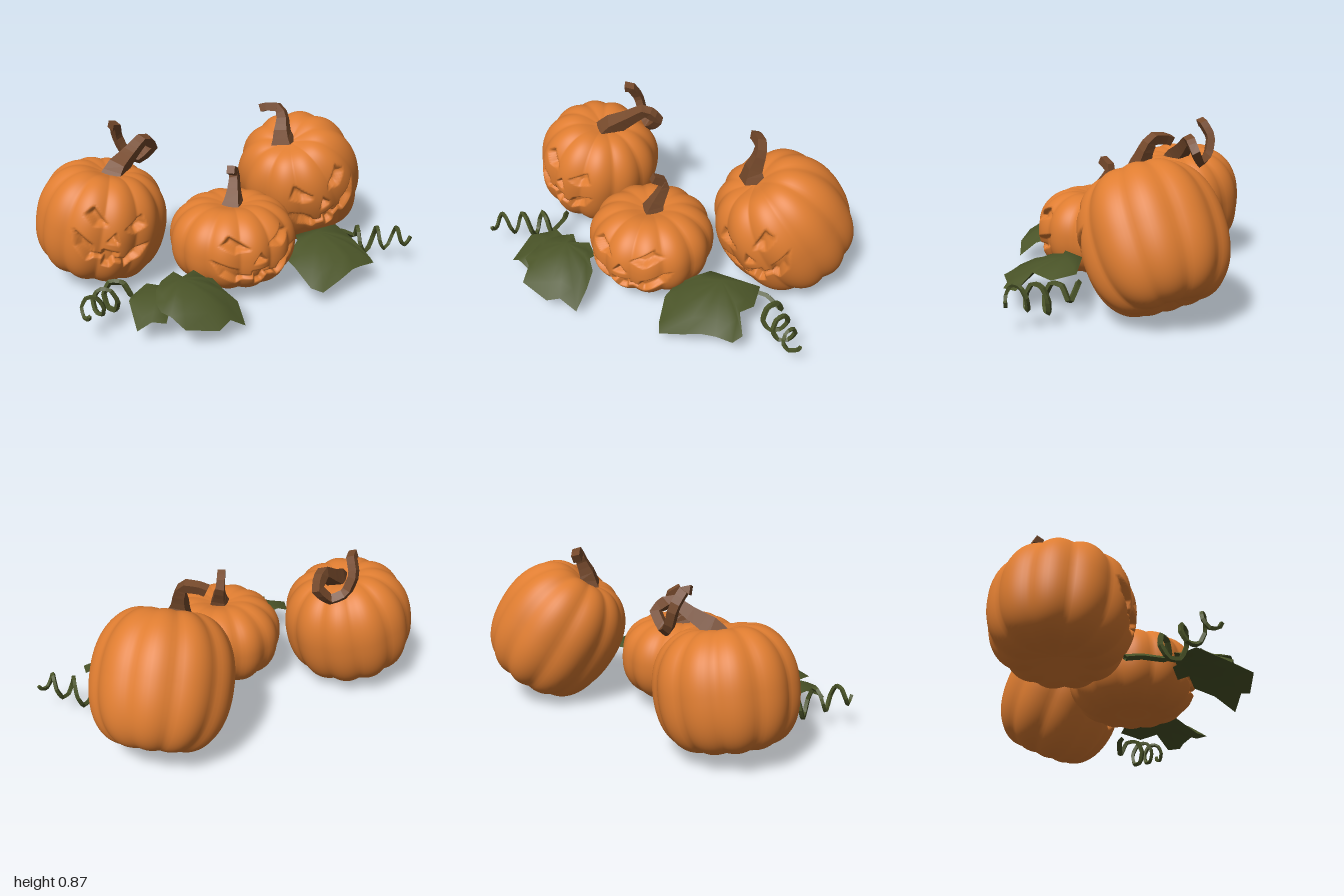
import * as THREE from 'three';

const mat = (name, color) => {
  const m = new THREE.MeshStandardMaterial({ color });
  m.name = name;
  return m;
};

// Signed distance to a polygon, negative inside
function polygonDistance(x, y, pts) {
  let d = Infinity, inside = false;
  for (let i = 0, j = pts.length - 1; i < pts.length; j = i++) {
    const [ax, ay] = pts[i], [bx, by] = pts[j];
    const ex = bx - ax, ey = by - ay;
    const t = THREE.MathUtils.clamp(((x - ax) * ex + (y - ay) * ey) / (ex * ex + ey * ey), 0, 1);
    d = Math.min(d, Math.hypot(x - ax - ex * t, y - ay - ey * t));
    if ((ay > y) !== (by > y) && x < ex * (y - ay) / ey + ax) inside = !inside;
  }
  return inside ? -d : d;
}

// Carved face shapes
const eye = [[0.045, 0.075], [0.11, 0.06], [0.165, 0.1], [0.13, 0.145]];
const mouthHalf = [[0.04, -0.05], [0.04, -0.08], [0.085, -0.08], [0.1, -0.04], [0.2, 0.01],
  [0.17, -0.07], [0.1, -0.125], [0.075, -0.1], [0.03, -0.1], [0.02, -0.135]];
const mirror = pts => pts.map(([x, y]) => [-x, y]).reverse();
const faceShapes = [eye, mirror(eye), [[-0.032, -0.005], [0.032, -0.005], [0, 0.05]],
  [...mouthHalf, ...mirror(mouthHalf)]];

// Ribbed body with dimpled ends and a fuller base; the face is pressed inwards on the +z side
function pumpkinGeometry({ R, top, bottom, base, lobes, face }) {
  const cols = 140, rows = 80, pos = [], index = [];
  const ct = Math.cos(face.tilt), st = Math.sin(face.tilt);
  const shapes = faceShapes.map(s => s.map(([x, y]) => [
    (x * ct - y * st) * face.sx + face.x, (x * st + y * ct) * face.sy + face.y]));
  for (let j = 0; j <= rows; j++) {
    const v = (j / rows - 0.5) * Math.PI, phi = v - 0.25 * Math.sin(2 * v);
    const c = Math.max(0, Math.cos(phi)), s = Math.sin(phi);
    const prof = Math.pow(c, s < 0 ? base : 0.76);
    for (let i = 0; i < cols; i++) {
      const u = (i / cols * 2 - 1) * Math.PI, a = u - 0.6 * Math.sin(u);
      const groove = 1 - Math.abs(Math.cos(a * lobes / 2));
      const r = R * prof * (1 - 0.055 * groove);
      const y = Math.sign(s) * ((s < 0 ? bottom : top) * Math.pow(Math.abs(s), 0.9) * (1 - 0.04 * groove * prof)
        - 0.048 * Math.exp(-Math.pow(prof / 0.35, 2)));
      const x = r * Math.sin(a), z = r * Math.cos(a);
      let k = 1;
      if (z > 0) {
        const d = Math.min(...shapes.map(p => polygonDistance(x, y, p)));
        k -= 0.12 * THREE.MathUtils.smoothstep(-d, -0.006, 0.016);
      }
      pos.push(x * k, y, z * k);
      if (j < rows) {
        const p = j * cols + i, q = j * cols + (i + 1) % cols;
        index.push(p, q, q + cols, p, q + cols, p + cols);
      }
    }
  }
  const g = new THREE.BufferGeometry();
  g.setAttribute('position', new THREE.Float32BufferAttribute(pos, 3));
  g.setIndex(index);
  g.computeVertexNormals();
  return g;
}

// Tapered faceted tube with a closed tip
function taperedTube(points, r0, r1, segments, sides, ease) {
  const curve = new THREE.CatmullRomCurve3(points.map(p => new THREE.Vector3(...p)), false, 'catmullrom', 0.2);
  const g = new THREE.TubeGeometry(curve, segments, 1, sides);
  const p = g.attributes.position, v = new THREE.Vector3();
  const tip = curve.getPointAt((segments - 1) / segments);
  for (let i = 0; i <= segments; i++) {
    const centre = curve.getPointAt(i / segments);
    const r = r1 + (r0 - r1) * Math.pow(1 - i / segments, ease);
    for (let k = 0; k <= sides; k++) {
      const n = i * (sides + 1) + k;
      v.fromBufferAttribute(p, n).sub(centre).multiplyScalar(r).add(centre);
      if (i === segments) v.copy(tip);
      p.setXYZ(n, v.x, v.y, v.z);
    }
  }
  const flat = g.toNonIndexed();
  flat.computeVertexNormals();
  return flat;
}

// Drooping leaf: rings shrinking from the outline to the raised centre
function leafGeometry([cx, cy, cz], droop, outline) {
  const rings = 4, n = outline.length, pos = [cx, cy, cz], index = [];
  for (let k = 1; k <= rings; k++) {
    outline.forEach(([x, z], i) => {
      const t = k / rings, dx = (x - cx) * t, dz = (z - cz) * t;
      const ripple = (i % 2 ? 0.014 : -0.014) * t * t;
      pos.push(cx + dx, cy - droop * (dx * dx + dz * dz) + ripple, cz + dz);
      const a = 1 + (k - 1) * n + i, b = 1 + (k - 1) * n + (i + 1) % n;
      if (k === 1) index.push(0, b, a);
      if (k < rings) index.push(a, b, b + n, a, b + n, a + n);
    });
  }
  const g = new THREE.BufferGeometry();
  g.setAttribute('position', new THREE.Float32BufferAttribute(pos, 3));
  g.setIndex(index);
  g.computeVertexNormals();
  return g;
}

// Curled tendril: a short lead-in, then a helix along a line
function tendrilPoints(lead, from, to, turns) {
  const pts = [...lead], a = new THREE.Vector3(...from), b = new THREE.Vector3(...to);
  const side = new THREE.Vector3(b.z - a.z, 0, a.x - b.x).normalize();
  const steps = turns * 6;
  for (let i = 0; i <= steps; i++) {
    const t = i / steps, w = t * turns * Math.PI * 2, f = 1 - 0.4 * t;
    const p = a.clone().lerp(b, t).addScaledVector(side, 0.065 * f * Math.cos(w));
    pts.push([p.x, p.y + 0.085 * f * Math.sin(w), p.z]);
  }
  return pts;
}

export function createModel() {
  const model = new THREE.Group();
  const orange = mat('pumpkin orange', 0xdf7d31);
  const brown = mat('stem brown', 0x75492b);
  const green = mat('leaf green', 0x4a5428);
  green.side = THREE.DoubleSide;

  const add = (name, geometry, material) => {
    const m = new THREE.Mesh(geometry, material);
    m.name = name;
    model.add(m);
    return m;
  };

  // Pumpkins with their stems
  const pumpkins = [
    { name: 'rightPumpkin', R: 0.355, top: 0.312, bottom: 0.305, base: 0.52, lobes: 11,
      at: [-0.65, 0.35, -0.275], turn: [0.06, 0, -0.2],
      face: { x: -0.035, y: 0.02, sx: 1, sy: 1.05, tilt: -0.12 },
      stem: [[-0.58, 0.57, -0.25], [-0.55, 0.62, -0.27], [-0.46, 0.68, -0.32], [-0.37, 0.74, -0.36],
        [-0.305, 0.68, -0.4], [-0.38, 0.605, -0.42], [-0.45, 0.64, -0.46], [-0.49, 0.74, -0.47],
        [-0.51, 0.82, -0.42], [-0.57, 0.82, -0.39]], r: [0.085, 0.031], segments: 24, ease: 5 },
    { name: 'middlePumpkin', R: 0.342, top: 0.23, bottom: 0.235, base: 0.65, lobes: 12,
      at: [-0.025, 0.284, 0.095], turn: [0, 0, 0],
      face: { x: 0.02, y: 0, sx: 1.2, sy: 0.95, tilt: 0 },
      stem: [[-0.02, 0.45, 0.09], [-0.01, 0.5, 0.08], [0.015, 0.59, 0.03], [0.01, 0.63, 0.03],
        [-0.045, 0.68, 0.1]], r: [0.075, 0.03], segments: 9, ease: 3.5 },
    { name: 'leftPumpkin', R: 0.36, top: 0.37, bottom: 0.358, base: 0.62, lobes: 10,
      at: [0.575, 0.395, -0.3], turn: [0.4, 0, 0.4],
      face: { x: 0.03, y: 0.09, sx: 1.05, sy: 1.1, tilt: 0 },
      stem: [[0.42, 0.66, -0.2], [0.415, 0.72, -0.21], [0.43, 0.8, -0.24], [0.42, 0.85, -0.27],
        [0.36, 0.845, -0.33], [0.32, 0.82, -0.37]], r: [0.08, 0.032], segments: 10, ease: 3.5 },
  ];
  for (const p of pumpkins) {
    const body = add(p.name, pumpkinGeometry(p), orange);
    body.position.set(...p.at);
    body.rotation.set(...p.turn);
    add(p.name + 'Stem', taperedTube(p.stem, p.r[0], p.r[1], p.segments, 4, p.ease), brown);
  }

  // Leaves
  add('leftLeaf', leafGeometry([0.46, 0.245, 0.16], 1.1, [[0.36, 0.1], [0.64, 0.06], [0.67, 0.18],
    [0.64, 0.28], [0.7, 0.35], [0.68, 0.42], [0.59, 0.43], [0.52, 0.47], [0.43, 0.49], [0.31, 0.53],
    [0.27, 0.47], [0.23, 0.35], [0.23, 0.25], [0.32, 0.2]]), green);
  add('rightFrontLeaf', leafGeometry([-0.42, 0.235, 0.36], 1.4, [[-0.5, 0.29], [-0.43, 0.28], [-0.39, 0.31],
    [-0.32, 0.28], [-0.26, 0.31], [-0.25, 0.37], [-0.21, 0.4], [-0.17, 0.51], [-0.17, 0.61],
    [-0.26, 0.63], [-0.33, 0.66], [-0.5, 0.65], [-0.54, 0.55], [-0.58, 0.53], [-0.58, 0.44],
    [-0.56, 0.39]]), green);
  add('rightBackLeaf', leafGeometry([-0.53, 0.19, 0.34], 1.6, [[-0.7, 0.51], [-0.69, 0.35], [-0.66, 0.28],
    [-0.57, 0.26], [-0.48, 0.28], [-0.45, 0.36], [-0.56, 0.54], [-0.63, 0.53]]), green);

  // Curled tendrils
  add('rightTendril', taperedTube(tendrilPoints([[-0.7, 0.1, 0.02], [-0.65, 0.13, 0.1]],
    [-0.69, 0.12, 0.18], [-0.94, 0.2, 0.42], 3), 0.016, 0.011, 54, 4, 1), green);
  add('leftTendril', taperedTube(tendrilPoints([[0.6, 0.16, 0.06], [0.68, 0.16, 0.05]],
    [0.73, 0.115, 0.11], [0.98, 0.2, 0.33], 3), 0.016, 0.011, 54, 4, 1), green);

  return model;
}
